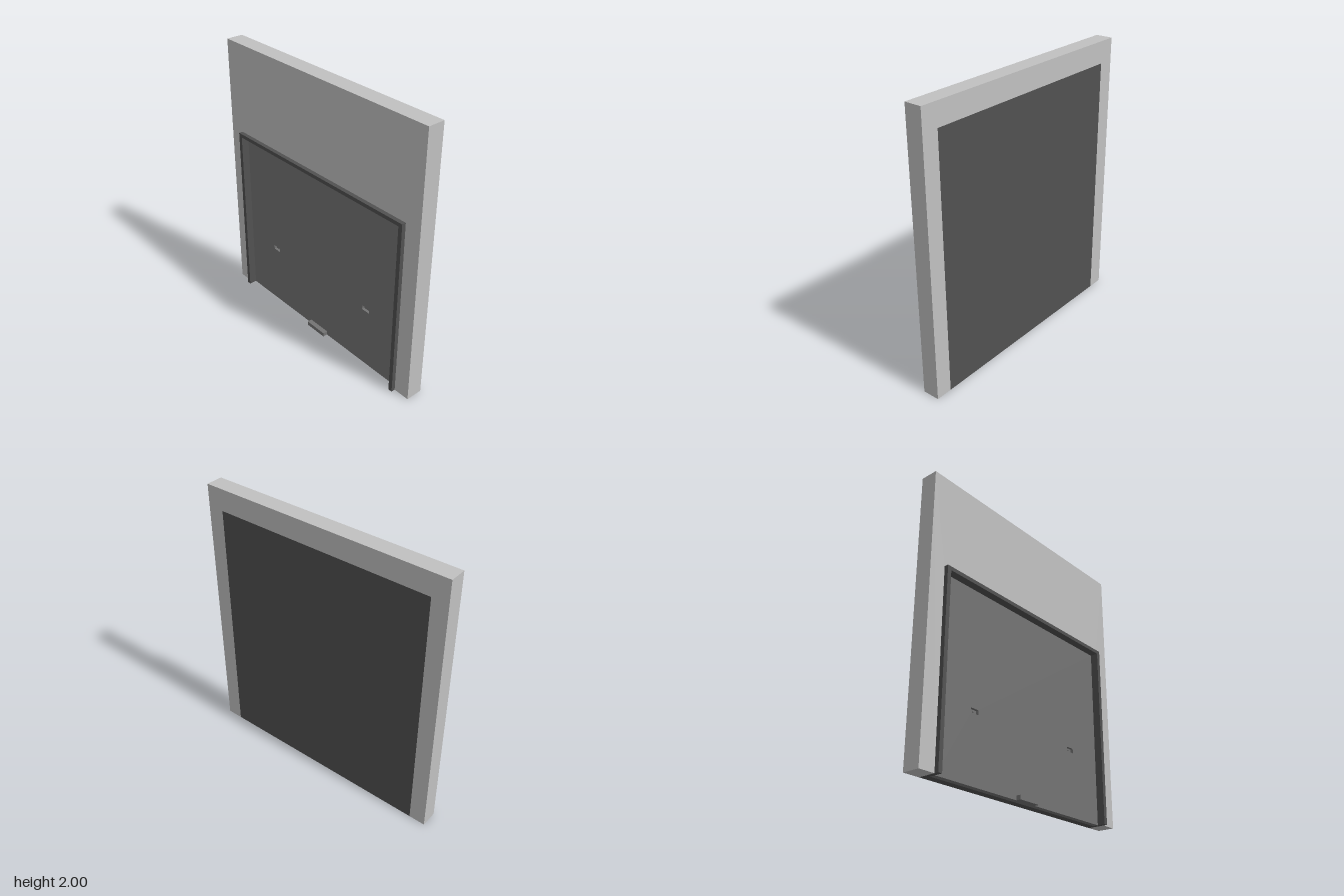
import * as THREE from 'three';

const BACK = -0.077, WALL_FRONT = 0.047, FRAME_FRONT = 0.077, DOOR_FRONT = 0.02;
const WALL_HALF = 0.94, FRAME_HALF = 0.82, DOOR_HALF = 0.79;

// Arch outline: a slab standing on the ground with a doorway cut up from below
function archShape(outerHalf, outerTop, innerHalf, innerTop) {
  return new THREE.Shape([
    [-outerHalf, 0], [-innerHalf, 0], [-innerHalf, innerTop], [innerHalf, innerTop],
    [innerHalf, 0], [outerHalf, 0], [outerHalf, outerTop], [-outerHalf, outerTop],
  ].map(([x, y]) => new THREE.Vector2(x, y)));
}

function rectPath(Type, x0, x1, y0, y1) {
  return new Type([[x0, y0], [x1, y0], [x1, y1], [x0, y1]].map(([x, y]) => new THREE.Vector2(x, y)));
}

export function createModel() {
  const model = new THREE.Group();
  model.name = 'garageDoor';
  const material = (name, color) => {
    const m = new THREE.MeshStandardMaterial({ color });
    m.name = name;
    return m;
  };
  const wallGrey = material('wallGrey', 0xc1c1c1);
  const doorGrey = material('doorGrey', 0x737373);
  const frameGrey = material('frameGrey', 0x515151);

  const add = (name, geometry, mat) => {
    const mesh = new THREE.Mesh(geometry, mat);
    mesh.name = name;
    model.add(mesh);
  };
  const extrude = (name, shape, z0, z1, mat) => {
    const g = new THREE.ExtrudeGeometry(shape, { depth: z1 - z0, bevelEnabled: false });
    add(name, g.translate(0, 0, z0), mat);
  };
  const box = (name, x0, x1, y0, y1, z0, z1, mat) => {
    const g = new THREE.BoxGeometry(x1 - x0, y1 - y0, z1 - z0);
    add(name, g.translate((x0 + x1) / 2, (y0 + y1) / 2, (z0 + z1) / 2), mat);
  };

  // Wall: a tall opening at the back, a lower doorway at the front
  extrude('wallBack', archShape(WALL_HALF, 2, FRAME_HALF, 1.84), BACK, -0.02, wallGrey);
  extrude('wallFront', archShape(WALL_HALF, 2, FRAME_HALF, 1.335), -0.02, WALL_FRONT, wallGrey);

  // Dark panel filling the back opening, flush with the wall
  box('backPanel', -FRAME_HALF, FRAME_HALF, 0, 1.84, BACK, -0.02, frameGrey);

  // Door frame standing proud of the wall
  extrude('doorFrame', archShape(FRAME_HALF, 1.335, DOOR_HALF, 1.308), -0.02, FRAME_FRONT, frameGrey);

  // Door leaf with two recessed grips
  box('doorCore', -DOOR_HALF, DOOR_HALF, 0, 1.308, -0.02, 0, doorGrey);
  const leaf = rectPath(THREE.Shape, -DOOR_HALF, DOOR_HALF, 0, 1.308);
  for (const side of [-1, 1]) {
    const x = side * 0.485;
    leaf.holes.push(rectPath(THREE.Path, x - 0.033, x + 0.033, 0.456, 0.488));
    box('gripPin', x - 0.004, x + 0.004, 0.469, 0.475, 0, 0.008, doorGrey);
  }
  extrude('doorLeaf', leaf, 0, DOOR_FRONT, doorGrey);

  // Lift handle at the foot of the door
  box('liftHandle', -0.09, 0.09, 0, 0.03, DOOR_FRONT, 0.055, doorGrey);

  return model;
}
